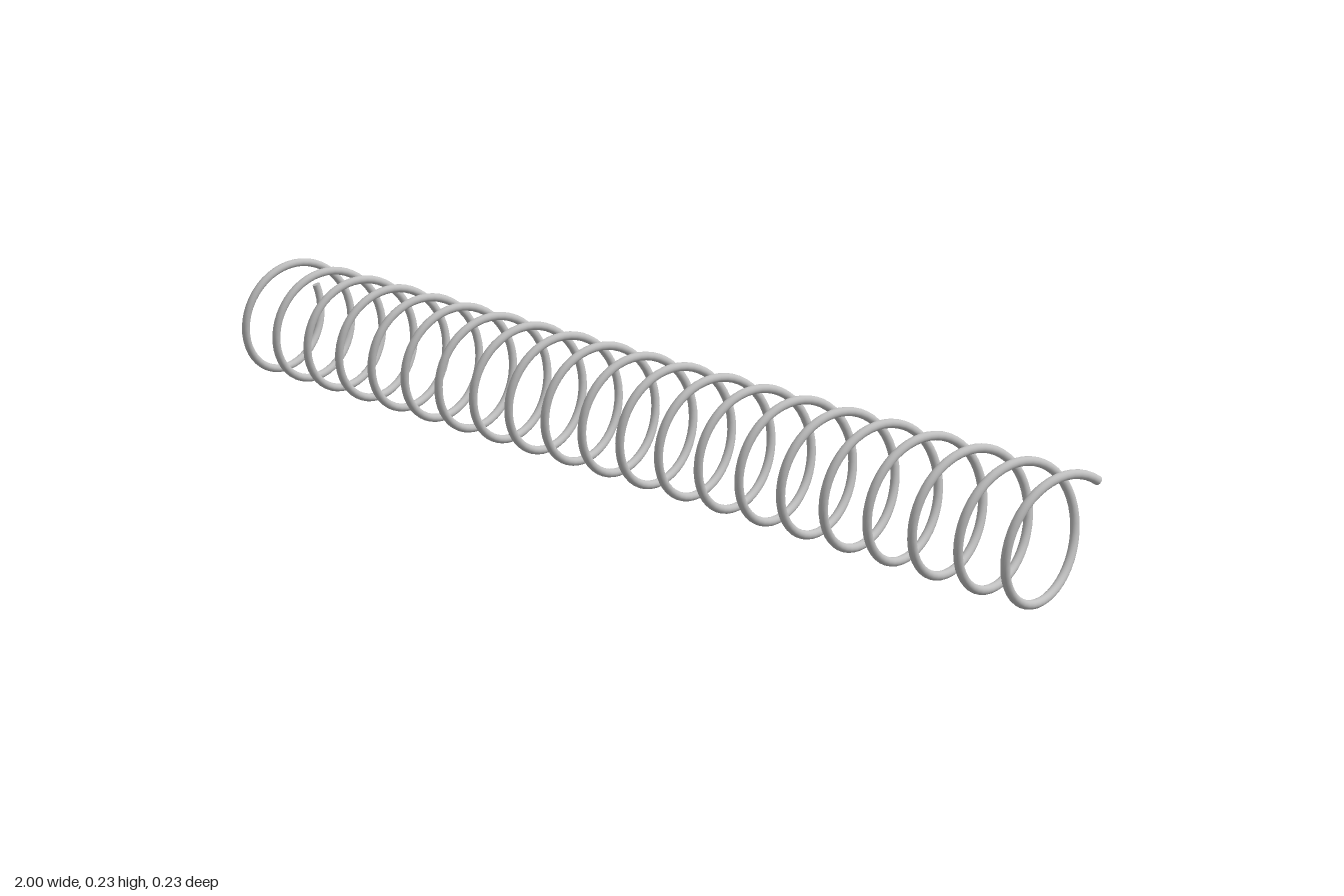
import * as THREE from 'three';

const COIL_RADIUS = 0.1075, WIRE_RADIUS = 0.0075, CENTRE_Y = 0.115;
const HALF_LENGTH = 0.9925;
const START = -0.33, END = 42 * Math.PI - 0.96; // just under 21 turns

// Helix along x: back, bottom, front, top as x grows
class Helix extends THREE.Curve {
  getPoint(t, target = new THREE.Vector3()) {
    const a = START + (END - START) * t;
    return target.set(
      HALF_LENGTH * (2 * t - 1),
      CENTRE_Y - COIL_RADIUS * Math.sin(a),
      -COIL_RADIUS * Math.cos(a)
    );
  }
}

export function createModel() {
  const group = new THREE.Group();
  group.name = 'coilSpring';
  const steel = new THREE.MeshStandardMaterial({ color: 0xc0c0c0 });
  steel.name = 'steel grey';

  // Wound wire
  const helix = new Helix();
  const wire = new THREE.Mesh(new THREE.TubeGeometry(helix, 1000, WIRE_RADIUS, 16, false), steel);
  wire.name = 'springWire';
  group.add(wire);

  // Flat cut faces at both wire ends
  for (const [name, t, dir] of [['startCap', 0, -1], ['endCap', 1, 1]]) {
    const cap = new THREE.Mesh(new THREE.CircleGeometry(WIRE_RADIUS, 16), steel);
    cap.name = name;
    cap.position.copy(helix.getPoint(t));
    cap.lookAt(cap.position.clone().addScaledVector(helix.getTangent(t), dir));
    group.add(cap);
  }
  return group;
}
